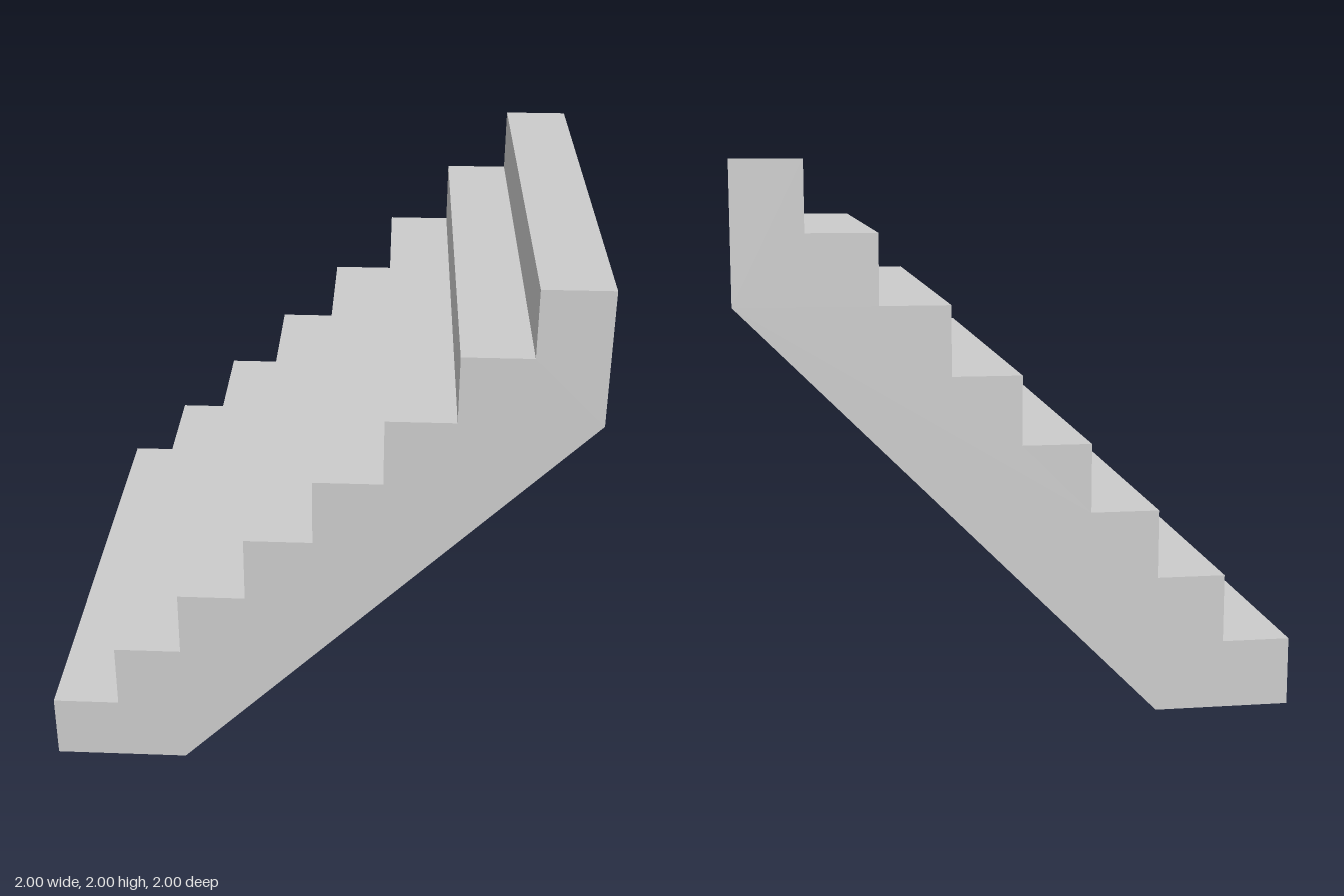
import * as THREE from 'three';

const STEPS = 8;
const SIZE = 2;
const STEP = SIZE / STEPS; // tread depth and riser height

export function createModel() {
  const group = new THREE.Group();
  group.name = 'staircase';

  // Side profile: sloped underside, upright back end, then the steps going down
  const profile = new THREE.Shape();
  profile.moveTo(-1, 0);
  profile.lineTo(-1 + 2 * STEP, 0);
  profile.lineTo(1, SIZE - 2 * STEP);
  for (let i = STEPS; i > 0; i--) {
    profile.lineTo(-1 + i * STEP, i * STEP);
    profile.lineTo(-1 + (i - 1) * STEP, i * STEP);
  }
  profile.closePath();

  // Solid flight, extruded across the full width
  const geometry = new THREE.ExtrudeGeometry(profile, { depth: SIZE, bevelEnabled: false });
  geometry.translate(0, 0, -SIZE / 2);

  const flight = new THREE.Mesh(
    geometry,
    new THREE.MeshStandardMaterial({ color: 0xcccccc, flatShading: true })
  );
  flight.name = 'stairFlight';
  group.add(flight);

  return group;
}
